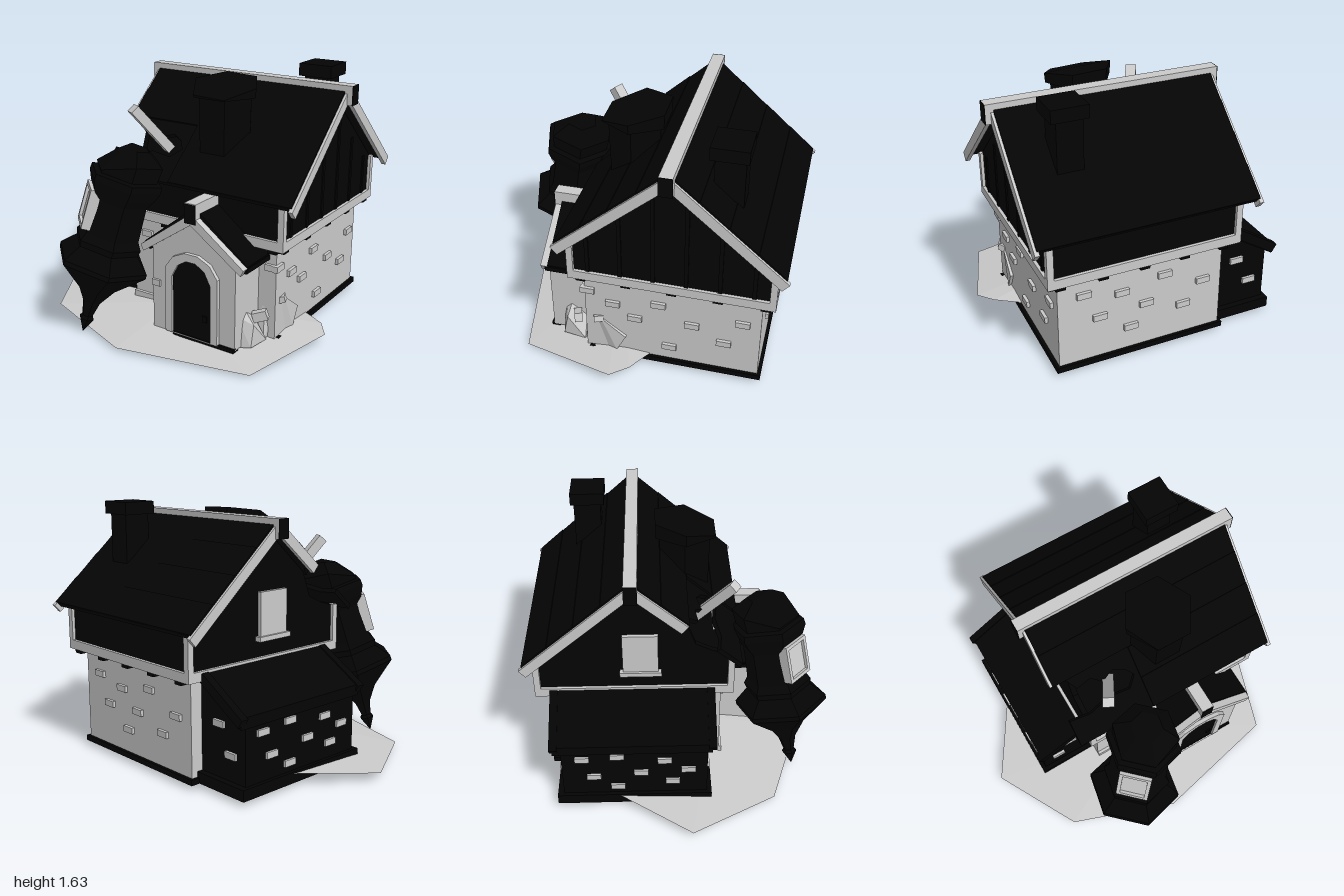
import * as THREE from 'three';
import { ConvexGeometry } from 'three/addons/geometries/ConvexGeometry.js';

const stone = new THREE.MeshStandardMaterial({ color: 0xcccccc, flatShading: true, side: THREE.DoubleSide });
const dark = new THREE.MeshStandardMaterial({ color: 0x040404, flatShading: true, side: THREE.DoubleSide });

function add(parent, name, geo, mat) {
  const m = new THREE.Mesh(geo, mat);
  m.name = name;
  parent.add(m);
  return m;
}
// box given by its min and max on each axis
function box(parent, name, mat, x0, x1, y0, y1, z0, z1) {
  const m = add(parent, name, new THREE.BoxGeometry(x1 - x0, y1 - y0, z1 - z0), mat);
  m.position.set((x0 + x1) / 2, (y0 + y1) / 2, (z0 + z1) / 2);
  return m;
}
const points = pts => pts.map(p => new THREE.Vector2(...p));
const poly = pts => new THREE.Shape(points(pts));
const extrude = (shape, depth) => new THREE.ExtrudeGeometry(shape, { depth, bevelEnabled: false });
// square bar between two points
function bar(parent, name, mat, a, b, w, h) {
  const A = new THREE.Vector3(...a), B = new THREE.Vector3(...b);
  const m = add(parent, name, new THREE.BoxGeometry(w, h, A.distanceTo(B)), mat);
  m.position.copy(A).lerp(B, 0.5);
  m.lookAt(B);
}

function ground(g) {
  const rim = [[-1, 0.05, 0.07], [-0.7, 0.035, 0.61], [-0.02, 0.02, 0.85], [0.82, 0.015, 0.66],
    [1, 0.07, 0.06], [0.92, 0.08, -0.05], [0.5, 0.06, -0.3], [-0.7, 0.09, -0.4]];
  const geo = new THREE.BufferGeometry();
  geo.setAttribute('position', new THREE.Float32BufferAttribute([0, 0.1, 0.25, ...rim.flat()], 3));
  geo.setIndex(rim.flatMap((_, i) => [0, i + 1, (i + 1) % rim.length + 1]));
  geo.computeVertexNormals();
  add(g, 'ground', geo, stone);
}

function lowerStorey(g) {
  box(g, 'foundation', dark, -0.33, 0.78, 0.03, 0.065, -0.85, 0.25);
  box(g, 'stoneWalls', stone, -0.31, 0.76, 0.06, 0.68, -0.83, 0.27);
  box(g, 'frontPlinth', stone, -0.31, 0.04, 0.06, 0.12, 0.26, 0.29);
  // raised stones as [along, height]
  const side = [[0.25, 0.53], [0.09, 0.45], [-0.2, 0.5], [-0.41, 0.38], [-0.72, 0.46], [-0.05, 0.36],
    [-0.61, 0.28], [-0.27, 0.17], [0.13, 0.65], [-0.13, 0.65], [-0.4, 0.65], [-0.71, 0.65]];
  for (const [z, y] of side) box(g, 'sideStone', stone, 0.75, 0.78, y - 0.02, y + 0.02, z - 0.045, z + 0.045);
  const back = [[0.6, 0.53], [0.36, 0.48], [0.08, 0.53], [-0.18, 0.42], [0.5, 0.35], [0.2, 0.36],
    [-0.05, 0.28], [0.3, 0.22]];
  for (const [x, y] of back) box(g, 'backStone', stone, x - 0.045, x + 0.045, y - 0.02, y + 0.02, -0.85, -0.82);
  for (const [x, y] of [[-0.2, 0.55], [0.73, 0.53]])
    box(g, 'frontStone', stone, x - 0.04, x + 0.04, y - 0.02, y + 0.02, 0.26, 0.29);
  // brackets under the overhang
  for (let i = 0; i < 5; i++) {
    const z = -0.85 + i * 0.28, x = -0.28 + i * 0.26;
    box(g, 'bracket', dark, 0.76, 0.825, 0.645, 0.67, z - 0.03, z + 0.03);
    box(g, 'bracket', dark, x - 0.03, x + 0.03, 0.645, 0.67, -0.9, -0.83);
    box(g, 'bracket', dark, x - 0.03, x + 0.03, 0.645, 0.67, 0.27, 0.335);
  }
}

function upperStorey(g) {
  box(g, 'upperFloor', dark, -0.37, 0.82, 0.68, 0.74, -0.89, 0.325);
  box(g, 'frontBoards', dark, -0.37, 0.82, 0.7, 0.97, 0.29, 0.325);
  box(g, 'backBoards', dark, -0.37, 0.82, 0.7, 0.97, -0.89, -0.855);
  // gables, drawn as [-z, y]; the -x one is broken at its front
  const whole = [[-0.325, 0.7], [0.89, 0.7], [0.89, 0.97], [0.285, 1.5], [-0.325, 0.97]];
  const broken = [[-0.325, 0.7], [0.89, 0.7], [0.89, 0.97], [0.285, 1.5], [-0.04, 1.21], [-0.1, 1.05], [-0.2, 1], [-0.325, 0.96]];
  for (const [x, pts] of [[0.785, whole], [-0.37, broken]]) {
    const m = add(g, 'gableBoards', extrude(poly(pts), 0.035), dark);
    m.rotation.y = Math.PI / 2;
    m.position.x = x;
  }
  for (let i = 0; i < 6; i++) {
    const z = -0.78 + i * 0.2, top = 1.42 - Math.abs(z + 0.285) * 0.87;
    box(g, 'gableBatten', dark, 0.82, 0.828, 0.73, top, z - 0.012, z + 0.012);
  }
  // pale timber frame
  for (const x of [-0.39, 0.8]) {
    box(g, 'sillBeam', stone, x, x + 0.04, 0.67, 0.73, -0.91, 0.345);
    for (const z of [-0.91, 0.305]) box(g, 'cornerPost', stone, x, x + 0.04, 0.67, 0.97, z, z + 0.04);
  }
  for (const z of [-0.91, 0.305]) box(g, 'sillBeam', stone, -0.39, 0.84, 0.67, 0.73, z, z + 0.04);
  // gable window
  box(g, 'sideWindow', stone, -0.395, -0.36, 0.85, 1.13, -0.35, -0.13);
  box(g, 'sideWindowSill', stone, -0.41, -0.36, 0.83, 0.86, -0.37, -0.11);
}

function mainRoof(g) {
  const w = 0.69, len = 0.885;
  const back = [[-w, 0], [w, 0], [w, len], [-w, len]];
  // the front slope has a jagged notch at its -x side
  const front = [...back, [-w, 0.7], [-0.55, 0.72], [-0.4, 0.68], [-0.26, 0.7], [-0.2, 0.63], [-0.24, 0.57],
    [-0.31, 0.53], [-0.4, 0.57], [-0.46, 0.51], [-0.56, 0.53], [-0.6, 0.45], [-w, 0.44]];
  for (const isFront of [true, false]) {
    const turn = new THREE.Group(), slope = new THREE.Group();
    turn.name = isFront ? 'frontRoofSlope' : 'backRoofSlope';
    turn.position.set(0.2175, 1.548, -0.285);
    turn.rotation.y = isFront ? 0 : Math.PI;
    slope.rotation.x = 0.714;
    turn.add(slope);
    g.add(turn);
    add(slope, 'roofBoards', extrude(poly(isFront ? front : back), 0.03).rotateX(Math.PI / 2), dark);
    // overlapping courses
    for (let i = 0; i < 4; i++) {
      const left = isFront && i > 1 ? -0.17 : -w;
      const c = box(slope, 'roofCourse', dark, left, w, -0.004, 0.014, i * 0.221, (i + 1) * 0.221);
      c.rotation.x = 0.02;
    }
    // bargeboards, the broken one short
    for (const s of [-1, 1]) {
      const l = isFront && s < 0 ? 0.44 : 0.91;
      box(slope, 'bargeboard', stone, s * 0.692 - 0.014, s * 0.692 + 0.014, -0.058, 0.005, 0, l);
    }
  }
  box(g, 'ridgeBeam', stone, -0.515, 0.955, 1.45, 1.57, -0.325, -0.245);
  for (const x of [-0.52, 0.955]) box(g, 'ridgeBeamEnd', dark, x, x + 0.005, 1.45, 1.57, -0.325, -0.245);
  bar(g, 'brokenRafter', stone, [-0.13, 1.1, 0.12], [-0.25, 1.39, 0.34], 0.07, 0.06);
  // chimney
  box(g, 'chimney', dark, 0.51, 0.67, 1.1, 1.56, -0.665, -0.49);
  box(g, 'chimneyCap', dark, 0.48, 0.705, 1.55, 1.63, -0.685, -0.465);
}

// stub of the turret left on the roof, with a slanted broken top
function turretStump(g) {
  const body = new THREE.CylinderGeometry(0.185, 0.175, 0.4, 6).rotateY(Math.PI / 6);
  add(g, 'stumpBody', body, dark).position.set(0.25, 1.3, 0.05);
  const collar = new THREE.CylinderGeometry(0.22, 0.215, 0.07, 6).rotateY(Math.PI / 6);
  const p = collar.attributes.position;
  for (let i = 0; i < p.count; i++) {
    const z = p.getZ(i);
    if (p.getY(i) > 0) p.setY(i, p.getY(i) - 0.15 * z - 0.15 * Math.max(z, 0) - 0.04 * p.getX(i));
  }
  add(g, 'stumpCollar', collar, dark).position.set(0.25, 1.525, 0.055);
}

// hexagonal turret that has fallen point-down in front of the house
function fallenTurret(g) {
  const t = new THREE.Group();
  t.name = 'fallenTurret';
  const prof = [[0, 0], [0.05, 0.1], [0.035, 0.12], [0.06, 0.22], [0.13, 0.33], [0.3, 0.49], [0.3, 0.52], [0.21, 0.61],
    [0.22, 0.65], [0.19, 0.7], [0.18, 0.92], [0.215, 0.98], [0.24, 1.04], [0.235, 1.08], [0.2, 1.09], [0.21, 1.19], [0.1, 1.26], [0, 1.26]];
  const shell = new THREE.LatheGeometry(points(prof), 6, -13 * Math.PI / 180);
  // the broken end slopes down towards the window side
  const p = shell.attributes.position;
  for (let i = 0; i < p.count; i++) {
    const toWindow = -0.68 * p.getX(i) + 0.73 * p.getZ(i);
    if (p.getY(i) > 1.15) p.setY(i, p.getY(i) - 0.45 * Math.max(toWindow, 0));
  }
  add(t, 'turretShell', shell, dark);
  // window on one face
  const win = new THREE.Group();
  win.name = 'turretWindow';
  win.rotation.y = -43 * Math.PI / 180;
  box(win, 'windowPane', stone, -0.09, 0.09, 0.74, 0.95, 0.14, 0.185);
  for (const s of [-1, 1]) {
    box(win, 'windowJamb', stone, s * 0.09 - 0.012, s * 0.09 + 0.012, 0.72, 0.97, 0.14, 0.205);
    box(win, 'windowRail', stone, -0.1, 0.1, 0.845 + s * 0.115 - 0.012, 0.845 + s * 0.115 + 0.012, 0.14, 0.205);
  }
  t.add(win);
  t.position.set(-0.36, 0, 0.77);
  t.quaternion.setFromUnitVectors(new THREE.Vector3(0, 1, 0), new THREE.Vector3(0.22, 1, -0.2).normalize());
  g.add(t);
}

function leanTo(g) {
  // base is an open rim
  box(g, 'leanToBase', dark, -0.71, -0.67, 0.03, 0.1, -0.79, 0.2);
  for (const z of [-0.79, 0.155]) box(g, 'leanToBase', dark, -0.71, -0.27, 0.03, 0.1, z, z + 0.045);
  const body = poly([[-0.685, 0.1], [-0.31, 0.1], [-0.31, 0.7], [-0.4, 0.66], [-0.685, 0.48]]);
  add(g, 'leanToWalls', extrude(body, 0.92), dark).position.z = -0.75;
  const roof = poly([[-0.7, 0.45], [-0.705, 0.52], [-0.38, 0.72], [-0.36, 0.66]]);
  add(g, 'leanToRoof', extrude(roof, 1.0), dark).position.z = -0.8;
  for (const z of [-0.79, 0.2])
    bar(g, 'leanToRoofEdge', dark, [-0.71, 0.49, z], [-0.38, 0.695, z], 0.05, 0.06);
  const stones = [[-0.62, 0.4], [-0.4, 0.42], [-0.1, 0.38], [-0.25, 0.28], [-0.55, 0.25], [0.05, 0.3], [-0.05, 0.2], [-0.4, 0.16]];
  for (const [z, y] of stones) box(g, 'leanToStone', stone, -0.7, -0.68, y - 0.02, y + 0.02, z - 0.045, z + 0.045);
  for (const [x, y] of [[-0.57, 0.26], [-0.47, 0.43]])
    for (const z of [-0.755, 0.165]) box(g, 'leanToStone', stone, x - 0.045, x + 0.045, y - 0.02, y + 0.02, z - 0.012, z + 0.022);
}

function porch(g) {
  const p = new THREE.Group();
  p.name = 'porch';
  p.position.x = 0.34;
  g.add(p);
  add(p, 'porchWalls', extrude(poly([[-0.3, 0.06], [0.3, 0.06], [0.3, 0.62], [0, 0.86], [-0.3, 0.62]]), 0.29), stone).position.z = 0.25;
  // roof slabs and bargeboards
  for (const s of [-1, 1]) {
    const slab = poly([[0, 0.91], [s * 0.37, 0.62], [s * 0.36, 0.58], [0, 0.85]]);
    add(p, 'porchRoof', extrude(slab, 0.25), dark).position.z = 0.275;
    const board = poly([[0, 0.88], [s * 0.37, 0.61], [s * 0.35, 0.57], [0, 0.81]]);
    add(p, 'porchBargeboard', extrude(board, 0.045), stone).position.z = 0.525;
    box(p, 'porchEaveBeam', dark, s * 0.345 - 0.03, s * 0.345 + 0.03, 0.58, 0.61, 0.27, 0.54);
  }
  box(p, 'porchRidgeBeam', stone, -0.04, 0.04, 0.82, 0.945, 0.3, 0.57);
  box(p, 'porchRidgeEnd', dark, -0.04, 0.04, 0.82, 0.94, 0.57, 0.575);
  // faceted arch
  const arch = (w, top) => [[-w, 0.07], [w, 0.07], [w, top - 0.12], [w * 0.7, top - 0.04], [w * 0.25, top], [-w * 0.25, top], [-w * 0.7, top - 0.04], [-w, top - 0.12]];
  const frame = poly(arch(0.19, 0.62));
  frame.holes.push(new THREE.Path(points(arch(0.14, 0.57))));
  add(p, 'doorFrame', extrude(frame, 0.03), stone).position.z = 0.535;
  add(p, 'door', extrude(poly(arch(0.142, 0.572)), 0.01), dark).position.z = 0.54;
  box(p, 'doorHandle', dark, 0.08, 0.11, 0.2, 0.24, 0.54, 0.56);
  box(p, 'doorStep', dark, -0.14, 0.3, 0.05, 0.075, 0.5, 0.555);
  box(p, 'porchStone', stone, -0.3, -0.24, 0.35, 0.39, 0.53, 0.555);
}

// broken masonry beside the porch
function rubble(g) {
  const heaps = [
    [[0.6, 0.05, 0.48], [0.6, 0.25, 0.46], [0.6, 0.31, 0.4], [0.6, 0.25, 0.31], [0.7, 0.06, 0.45], [0.7, 0.2, 0.42], [0.72, 0.06, 0.3], [0.6, 0.05, 0.28]],
    [[0.64, 0.06, 0.3], [0.68, 0.33, 0.26], [0.7, 0.32, 0.18], [0.77, 0.31, 0.17], [0.7, 0.19, 0], [0.78, 0.19, 0.01], [0.78, 0.07, 0.07], [0.7, 0.06, 0.3]],
  ];
  for (const h of heaps) add(g, 'rubble', new ConvexGeometry(h.map(v => new THREE.Vector3(...v))), stone);
  bar(g, 'rubbleStone', stone, [0.66, 0.22, 0.36], [0.74, 0.25, 0.33], 0.05, 0.06);
  bar(g, 'rubbleStone', stone, [0.68, 0.28, 0.22], [0.78, 0.31, 0.18], 0.06, 0.04);
}

export function createModel() {
  const g = new THREE.Group();
  g.name = 'ruinedCottage';
  for (const part of [ground, lowerStorey, upperStorey, mainRoof, turretStump, fallenTurret, leanTo, porch, rubble]) part(g);
  return g;
}
